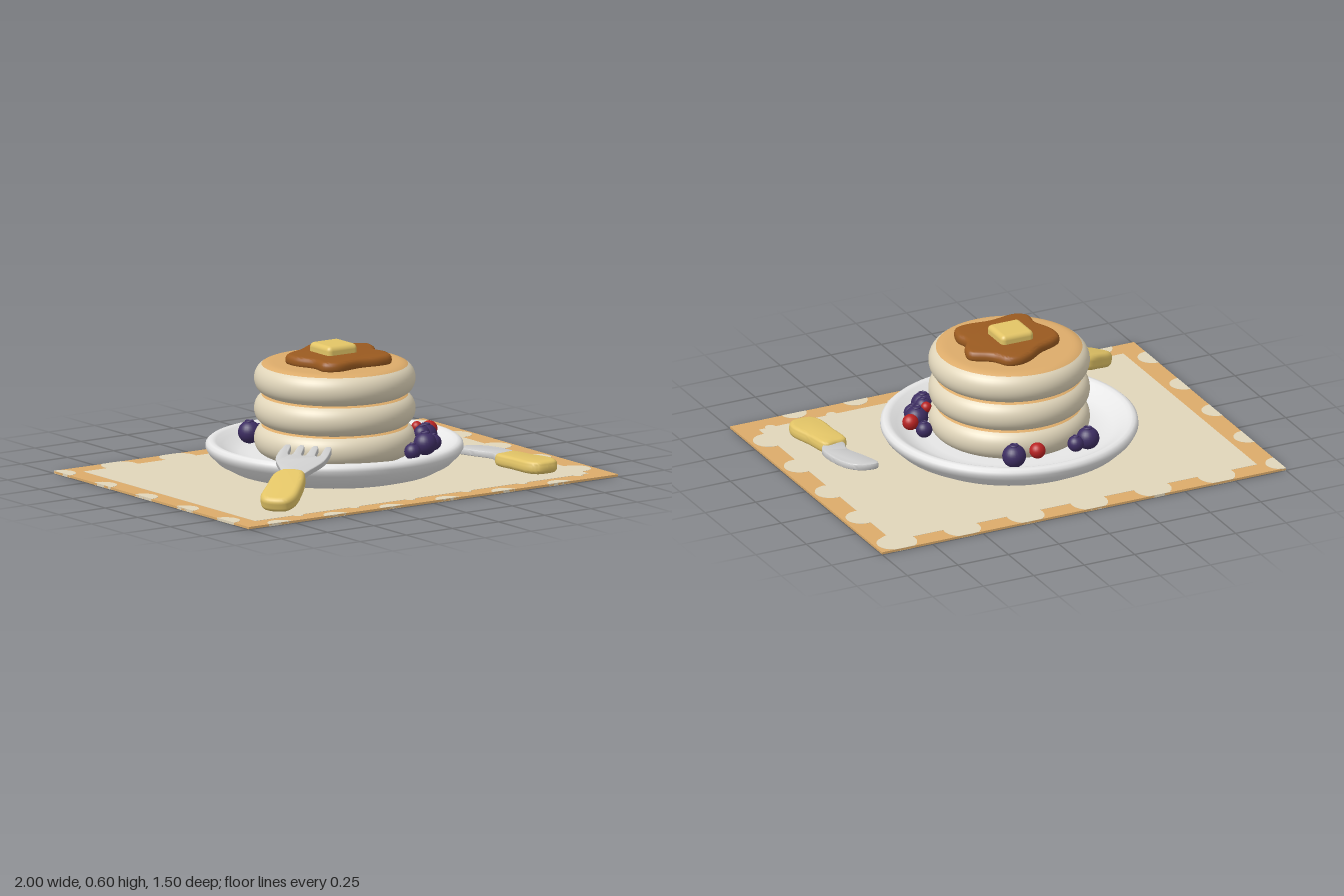
import * as THREE from 'three';
import { toCreasedNormals } from 'three/addons/utils/BufferGeometryUtils.js';
import { RoundedBoxGeometry } from 'three/addons/geometries/RoundedBoxGeometry.js';

const mat = (name, color) => {
  const m = new THREE.MeshStandardMaterial({ color });
  m.name = name;
  return m;
};

const M = {
  cream: mat('cream', 0xe0d5ba),
  golden: mat('golden brown', 0xdcab6a),
  white: mat('plate white', 0xe6e6e6),
  syrup: mat('syrup brown', 0x9a5a20),
  butter: mat('butter yellow', 0xe2c466),
  silver: mat('silver', 0xcccccc),
  blue: mat('blueberry', 0x3d2d62),
  red: mat('red berry', 0xb82222),
};

function add(parent, name, geometry, material, x = 0, y = 0, z = 0) {
  const mesh = new THREE.Mesh(geometry, material);
  mesh.name = name;
  mesh.position.set(x, y, z);
  parent.add(mesh);
  return mesh;
}

// Horizontal slab from an outline of [x, z] points, between heights y0 and y1
function slab(points, y0, y1, bevel = 0, smooth = true) {
  let pts = points.map(([x, z]) => new THREE.Vector3(x, -z, 0));
  if (smooth) pts = new THREE.CatmullRomCurve3(pts, true).getPoints(points.length * 6).slice(0, -1);
  const g = new THREE.ExtrudeGeometry(new THREE.Shape(pts.map((p) => new THREE.Vector2(p.x, p.y))), {
    depth: y1 - y0 - 2 * bevel,
    bevelEnabled: bevel > 0,
    bevelThickness: bevel,
    bevelSize: bevel,
    bevelOffset: -bevel,
    bevelSegments: 4,
  });
  g.rotateX(-Math.PI / 2).translate(0, y0 + bevel, 0);
  return toCreasedNormals(g, 0.7);
}

const lathe = (pts, n = 64) => new THREE.LatheGeometry(pts.map(([r, y]) => new THREE.Vector2(r, y)), n);

function placemat() {
  const g = new THREE.Group();
  g.name = 'placemat';
  add(g, 'matBorder', new THREE.BoxGeometry(2, 0.01, 1.5), M.golden, 0, 0.006, 0);
  add(g, 'matCentre', new THREE.BoxGeometry(1.805, 0.012, 1.32), M.cream, 0, 0.006, 0);
  // Scalloped dots, cut off at the mat's edges
  const dot = (cx, cz, r) => {
    const pts = [];
    for (let i = 0; i < 20; i++) {
      const a = (i / 20) * Math.PI * 2;
      pts.push([
        THREE.MathUtils.clamp(cx + r * Math.cos(a), -1, 1),
        THREE.MathUtils.clamp(cz + r * Math.sin(a), -0.75, 0.75),
      ]);
    }
    add(g, 'matDot', slab(pts, 0, 0.012, 0, false), M.cream);
  };
  for (let i = 0; i < 6; i++) {
    dot(-0.69 + i * 0.315, -0.68, 0.085);
    dot(-0.83 + i * 0.303, 0.755, 0.06);
    dot(-0.67 + i * 0.303, 0.66, 0.025);
  }
  for (let i = 0; i < 5; i++) {
    dot(-1, -0.69 + i * 0.315, 0.065);
    dot(0.915, -0.68 + i * 0.305, 0.07);
  }
  return g;
}

function pancakes() {
  const g = new THREE.Group();
  g.name = 'pancakeStack';
  const arc = (from, to, n) => Array.from({ length: n + 1 }, (_, i) => {
    const a = THREE.MathUtils.degToRad(from + ((to - from) * i) / n);
    return [0.275 + 0.083 * Math.pow(Math.max(0, Math.cos(a)), 0.8), 0.073 * Math.sin(a)];
  });
  const side = lathe([[0, -0.073], ...arc(-90, 58, 18)]);
  const top = lathe([...arc(58, 90, 5), [0, 0.075]]);
  for (const y of [0.168, 0.305, 0.442]) {
    add(g, 'pancakeSide', side, M.cream, -0.003, y, -0.005);
    add(g, 'pancakeTop', top, M.golden, -0.003, y, -0.005);
  }
  // Syrup pool and butter pat
  const pool = [
    [0.055, -0.23], [0.11, -0.215], [0.15, -0.15], [0.235, -0.085], [0.225, -0.02], [0.19, 0.04],
    [0.2, 0.11], [0.17, 0.185], [0.11, 0.2], [0, 0.19], [-0.13, 0.205], [-0.185, 0.165],
    [-0.18, 0.085], [-0.215, -0.01], [-0.21, -0.09], [-0.17, -0.122], [-0.09, -0.155], [-0.01, -0.21],
  ];
  add(g, 'syrup', slab(pool, 0.505, 0.558, 0.022), M.syrup);
  add(g, 'butter', new RoundedBoxGeometry(0.16, 0.06, 0.16, 4, 0.022), M.butter, -0.006, 0.568, -0.012);
  return g;
}

function berries() {
  const g = new THREE.Group();
  g.name = 'berries';
  // x, y, z, radius
  const blue = [
    [-0.215, 0.16, -0.36, 0.051], [-0.15, 0.15, -0.37, 0.037], [0.163, 0.16, -0.385, 0.053],
    [0.378, 0.145, 0.075, 0.037], [0.37, 0.165, 0.165, 0.052], [0.35, 0.15, 0.25, 0.037],
    [0.275, 0.16, 0.295, 0.052], [0.31, 0.19, 0.22, 0.036], [0.17, 0.145, 0.347, 0.037],
  ];
  const red = [[0.05, 0.165, -0.39, 0.036], [0.43, 0.178, 0.107, 0.036], [0.325, 0.208, 0.16, 0.024]];
  const ball = new THREE.SphereGeometry(1, 24, 16);
  const ring = new THREE.TorusGeometry(0.3, 0.1, 8, 16).rotateX(Math.PI / 2);
  for (const [x, y, z, r] of blue) {
    add(g, 'blueberry', ball, M.blue, x, y, z).scale.setScalar(r);
    add(g, 'blueberryCrown', ring, M.blue, x, y + r * 0.95, z).scale.setScalar(r);
  }
  for (const [x, y, z, r] of red) add(g, 'redBerry', ball, M.red, x, y, z).scale.setScalar(r);
  return g;
}

function knife() {
  const g = new THREE.Group();
  g.name = 'knife';
  const handle = [
    [0.65, 0.3], [0.7, 0.288], [0.76, 0.285], [0.79, 0.4], [0.816, 0.52], [0.79, 0.575],
    [0.74, 0.586], [0.69, 0.578], [0.66, 0.535], [0.652, 0.42],
  ];
  const blade = [
    [0.63, 0.025], [0.7, 0.028], [0.755, 0.075], [0.785, 0.16], [0.788, 0.265], [0.75, 0.31],
    [0.68, 0.31], [0.67, 0.28], [0.685, 0.22], [0.65, 0.12],
  ];
  add(g, 'knifeHandle', slab(handle, 0.015, 0.072, 0.02), M.butter);
  add(g, 'knifeBlade', slab(blade, 0.028, 0.058, 0.006), M.silver);
  return g;
}

// Fork lies along local x, then is turned and propped on the plate rim
function fork() {
  const g = new THREE.Group();
  g.name = 'fork';
  const handle = [
    [0.295, 0.045], [0.298, -0.043], [0.255, -0.078], [0.15, -0.083], [0.045, -0.08],
    [0.008, -0.05], [0.008, 0.045], [0.055, 0.078], [0.15, 0.08], [0.26, 0.064],
  ];
  const head = [[0.27, 0.035], [0.27, -0.035], [0.33, -0.075], [0.41, -0.117], [0.5, -0.115]];
  [-0.095, -0.032, 0.032, 0.092].forEach((w, i) => {
    head.push([0.535, w - 0.01], [0.535, w + 0.01]);
    if (i < 3) head.push([0.45, w + 0.024], [0.45, w + 0.04]);
  });
  head.push([0.49, 0.112], [0.41, 0.108], [0.33, 0.072]);
  add(g, 'forkHandle', slab(handle, -0.034, 0.034, 0.024), M.butter);
  add(g, 'forkHead', slab(head, -0.013, 0.015, 0.005), M.silver);
  g.rotation.set(0, 0.657, 0.31, 'YZX');
  g.position.set(-0.76, 0.05, 0.61);
  return g;
}

export function createModel() {
  const model = new THREE.Group();
  model.name = 'pancakeBreakfast';
  model.add(placemat());
  // Shallow bowl-shaped plate with a rolled rim
  const plate = [
    [0, 0.013], [0.34, 0.013], [0.4, 0.02], [0.46, 0.036], [0.52, 0.068], [0.558, 0.105],
    [0.572, 0.13], [0.57, 0.148], [0.558, 0.159], [0.542, 0.162], [0.525, 0.156], [0.5, 0.138],
    [0.46, 0.115], [0.42, 0.102], [0.37, 0.097], [0, 0.097],
  ];
  add(model, 'plate', lathe(plate, 80), M.white, -0.003, 0, -0.007);
  model.add(pancakes(), berries(), knife(), fork());
  return model;
}
